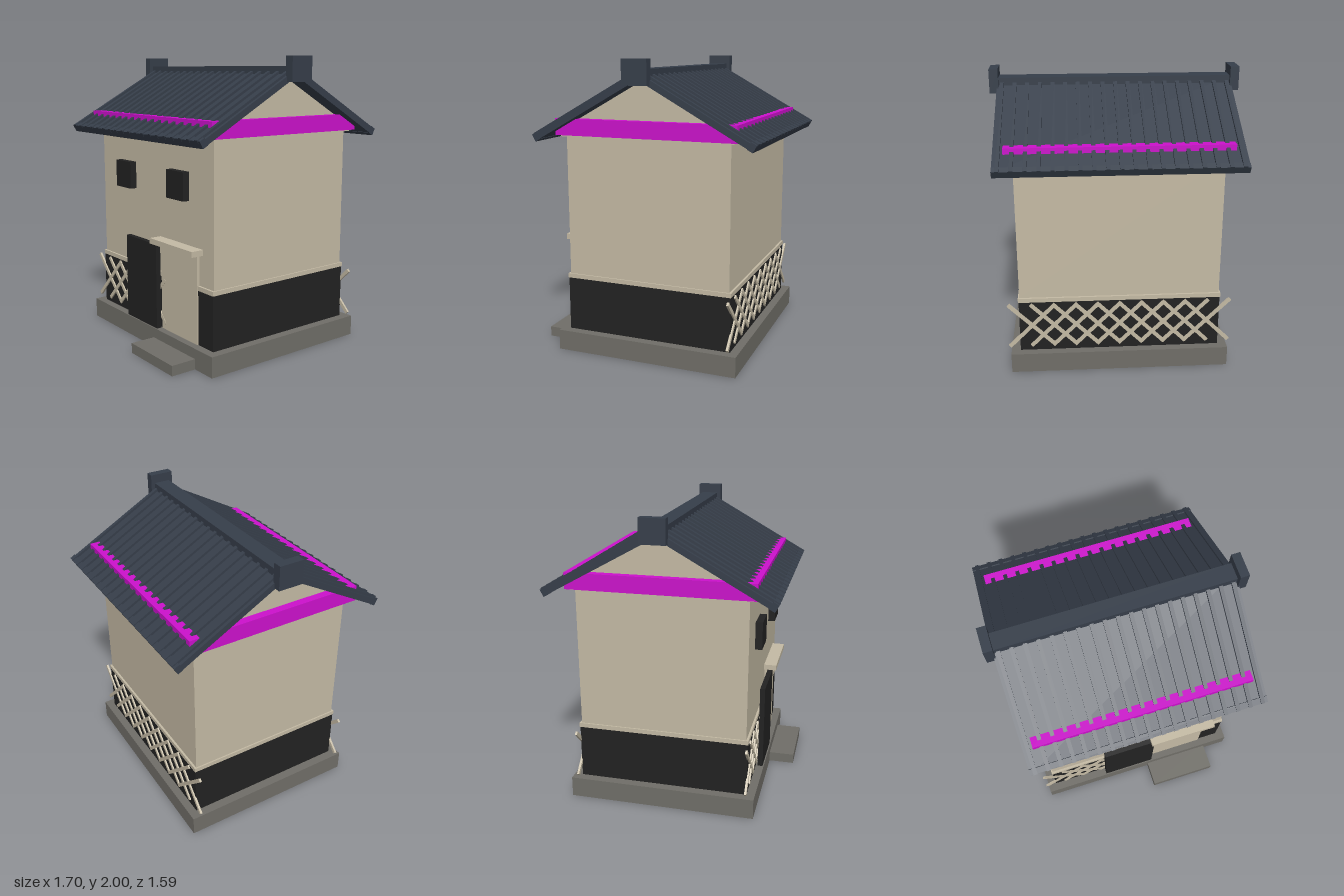
import * as THREE from 'three';

const mat = (name, color) => {
  const m = new THREE.MeshStandardMaterial({ color });
  m.name = name;
  return m;
};

export function createModel() {
  const plaster = mat('plaster', 0xc4baa4);
  const stone = mat('stone', 0x706e68);
  const black = mat('black', 0x222222);
  const tile = mat('roofTile', 0x363e4a);
  const magenta = mat('magenta', 0xcc11cc);

  const model = new THREE.Group();
  model.name = 'storehouse';
  const ZC = -0.02; // centre line of the building

  // Box given by its extents on each axis
  const box = (name, material, [x0, x1], [y0, y1], [z0, z1], parent = model) => {
    const mesh = new THREE.Mesh(new THREE.BoxGeometry(x1 - x0, y1 - y0, z1 - z0), material);
    mesh.position.set((x0 + x1) / 2, (y0 + y1) / 2, (z0 + z1) / 2);
    mesh.name = name;
    parent.add(mesh);
    return mesh;
  };
  const around = (half, c = 0) => [c - half, c + half];

  // Foundation and step
  box('foundation', stone, around(0.75), [0, 0.14], around(0.64, ZC));
  box('step', stone, [0.08, 0.57], [0, 0.07], [0.6, 0.8]);

  // Walls
  box('lowerWall', black, around(0.688), [0.14, 0.51], around(0.583, ZC));
  box('wallTrim', plaster, around(0.692), [0.51, 0.54], around(0.587, ZC));
  box('upperWall', plaster, around(0.682), [0.54, 1.5], around(0.572, ZC));
  box('corniceMoulding', plaster, around(0.71), [1.49, 1.5], around(0.6, ZC));
  box('cornice', magenta, around(0.735), [1.5, 1.61], around(0.625, ZC));

  // Gable
  const triangle = new THREE.Shape([
    new THREE.Vector2(-0.49, 1.6), new THREE.Vector2(0.49, 1.6), new THREE.Vector2(0, 1.88),
  ]);
  const gable = new THREE.Mesh(
    new THREE.ExtrudeGeometry(triangle, { depth: 1.364, bevelEnabled: false }), plaster);
  gable.rotation.y = Math.PI / 2;
  gable.position.set(-0.682, 0, ZC);
  gable.name = 'gable';
  model.add(gable);

  // Windows
  for (const s of [-1, 1]) {
    box('window', black, around(0.097, s * 0.323), [1.08, 1.27], [0.54, 0.6]);
  }

  // Entrance
  box('slidingDoor', black, [-0.275, 0.11], [0.14, 0.74], [0.577, 0.612]);
  box('doorway', plaster, [0.115, 0.53], [0.14, 0.74], [0.53, 0.571]);
  box('doorLintel', plaster, [0.08, 0.57], [0.747, 0.785], [0.54, 0.642]);

  // Diagonal lattice on the lower wall
  const barGeometry = new THREE.BoxGeometry(0.45, 0.025, 0.015);
  const lattice = (name, count, z) => {
    const group = new THREE.Group();
    group.name = name;
    for (let i = 0; i < count; i++) {
      for (const s of [-1, 1]) {
        const bar = new THREE.Mesh(barGeometry, plaster);
        bar.position.set(-0.6 + i * 0.15, 0.335, z);
        bar.rotation.z = s * Math.PI / 4;
        bar.name = 'latticeBar';
        group.add(bar);
      }
    }
    model.add(group);
  };
  lattice('frontLattice', 5, 0.566);
  lattice('backLattice', 9, -0.606);

  // Roof slopes: local +z runs down the slope, local y is its normal
  const pitch = Math.atan(0.555);
  const slopeLength = 0.869;
  for (const [name, turn] of [['frontRoof', 0], ['backRoof', Math.PI]]) {
    const slope = new THREE.Group();
    slope.name = name;
    slope.position.set(0, 1.918, ZC);
    slope.rotation.set(pitch, turn, 0, 'YXZ');
    box('roofSlab', tile, around(0.8), [-0.04, 0], [0, slopeLength], slope);
    box('eaveBar', tile, around(0.8), [-0.043, 0.009], [slopeLength - 0.04, slopeLength + 0.001], slope);
    for (let i = -9; i <= 9; i++) {
      box('tileRib', tile, around(0.013, i * 0.085), [-0.01, 0.016], [0.03, slopeLength + 0.002], slope);
    }
    model.add(slope);
  }

  // Ridge and its end caps
  box('ridge', tile, around(0.8), [1.86, 1.937], around(0.058, ZC));
  for (const s of [-1, 1]) {
    box('ridgeCap', tile, around(0.03, s * 0.818), [1.838, 2], around(0.085, ZC));
  }

  return model;
}
